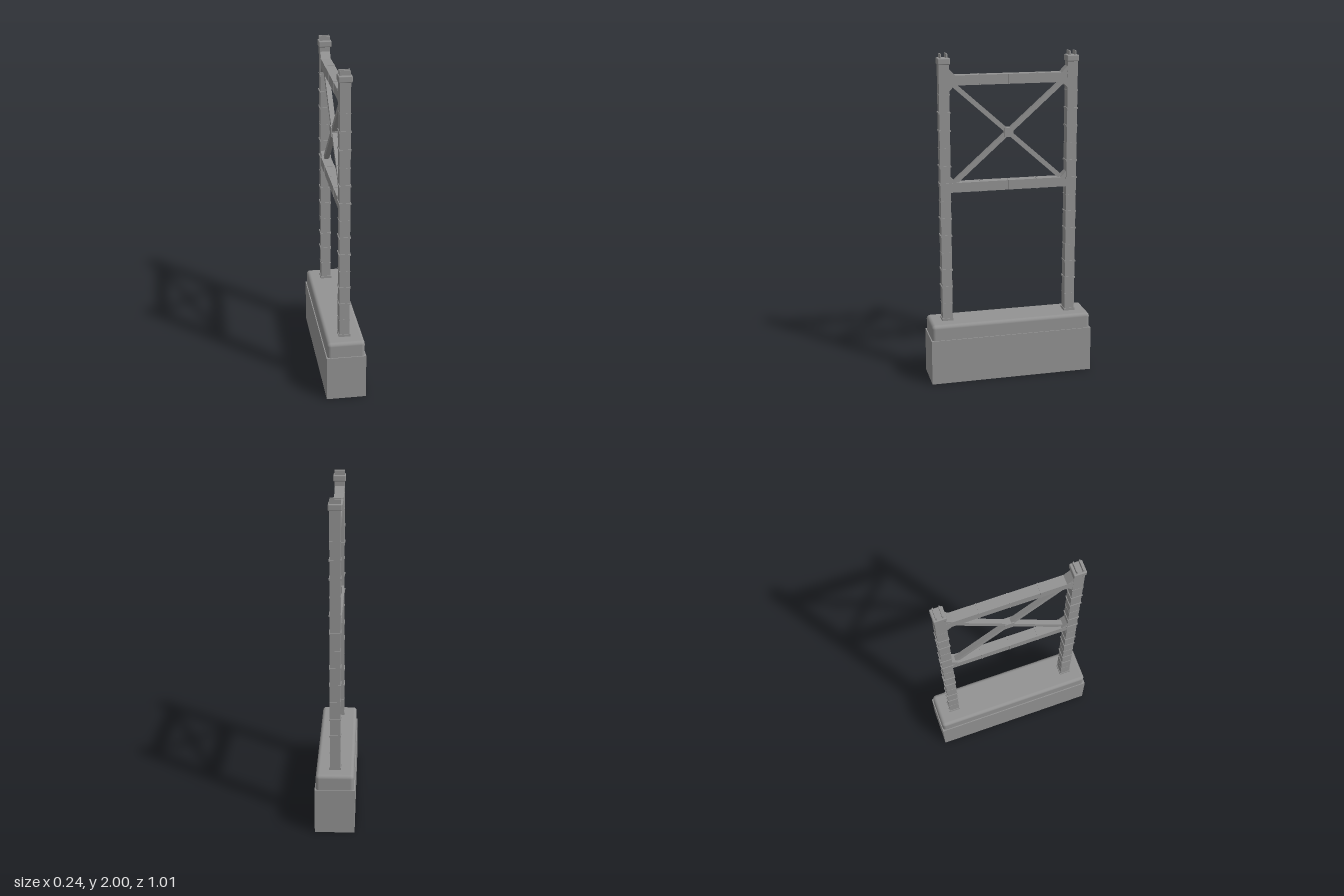
import * as THREE from 'three';
import { RoundedBoxGeometry } from 'three/addons/geometries/RoundedBoxGeometry.js';

export function createModel() {
  const model = new THREE.Group();
  model.name = 'bridgePier';
  const concrete = new THREE.MeshStandardMaterial({ color: 0x929292 });
  concrete.name = 'grey concrete';

  function add(name, geometry, x, y, z, parent = model) {
    const mesh = new THREE.Mesh(geometry, concrete);
    mesh.name = name;
    mesh.position.set(x, y, z);
    parent.add(mesh);
    return mesh;
  }
  const box = (name, w, h, d, x, y, z, parent) =>
    add(name, new THREE.BoxGeometry(w, h, d), x, y, z, parent);

  // Footing block with a soft-edged plinth on top
  box('footing', 0.238, 0.28, 1.01, 0, 0.14, 0);
  add('plinth', new RoundedBoxGeometry(0.226, 0.175, 0.998, 4, 0.022), 0, 0.2875, 0);

  // Two columns ringed by joint bands, each with a head and two lugs
  for (const side of [1, -1]) {
    const column = new THREE.Group();
    column.name = side > 0 ? 'frontColumn' : 'backColumn';
    column.position.z = side * 0.388;
    model.add(column);
    box('shaft', 0.062, 1.59, 0.062, 0, 1.16, 0, column);
    box('foot', 0.07, 0.016, 0.07, 0, 0.382, 0, column);
    for (let i = 0; i < 13; i++) {
      const wide = i % 3 !== 0;
      const size = wide ? 0.07 : 0.065;
      box('jointBand', size, wide ? 0.01 : 0.006, size, 0, 0.486 + i * 0.1065, 0, column);
    }
    add('head', new RoundedBoxGeometry(0.078, 0.038, 0.074, 2, 0.006), 0, 1.956, 0, column);
    for (const lug of [1, -1]) {
      box('lug', 0.064, 0.03, 0.007, 0, 1.985, lug * 0.018, column);
    }
  }

  // Horizontal beams with joint bands
  for (const y of [1.208, 1.845]) {
    box('crossBeam', 0.06, 0.058, 0.72, 0, y, 0);
    for (const z of [-0.174, 0, 0.174]) {
      box('beamBand', 0.064, z === 0 ? 0.059 : 0.062, 0.007, 0, y, z);
    }
  }

  // Diagonal braces and their centre block
  const rise = 0.61, run = 0.69;
  for (const side of [1, -1]) {
    const brace = box('diagonalBrace', 0.03, 0.028, Math.hypot(rise, run), 0, 1.526, 0);
    brace.rotation.x = side * Math.atan2(rise, run);
  }
  box('braceCentre', 0.042, 0.055, 0.055, 0, 1.526, 0);

  // Triangular gussets where beams meet columns
  function gusset(side, y, dir, size) {
    const shape = new THREE.Shape();
    shape.moveTo(0, 0);
    shape.lineTo(side * size, 0);
    shape.lineTo(0, dir * size);
    shape.closePath();
    const geometry = new THREE.ExtrudeGeometry(shape, { depth: 0.058, bevelEnabled: false });
    geometry.translate(0, 0, -0.029);
    geometry.rotateY(Math.PI / 2);
    add('gusset', geometry, 0, y, side * 0.357);
  }
  for (const side of [1, -1]) {
    gusset(side, 1.874, 1, 0.036);
    gusset(side, 1.816, -1, 0.032);
    gusset(side, 1.237, 1, 0.036);
  }
  return model;
}
